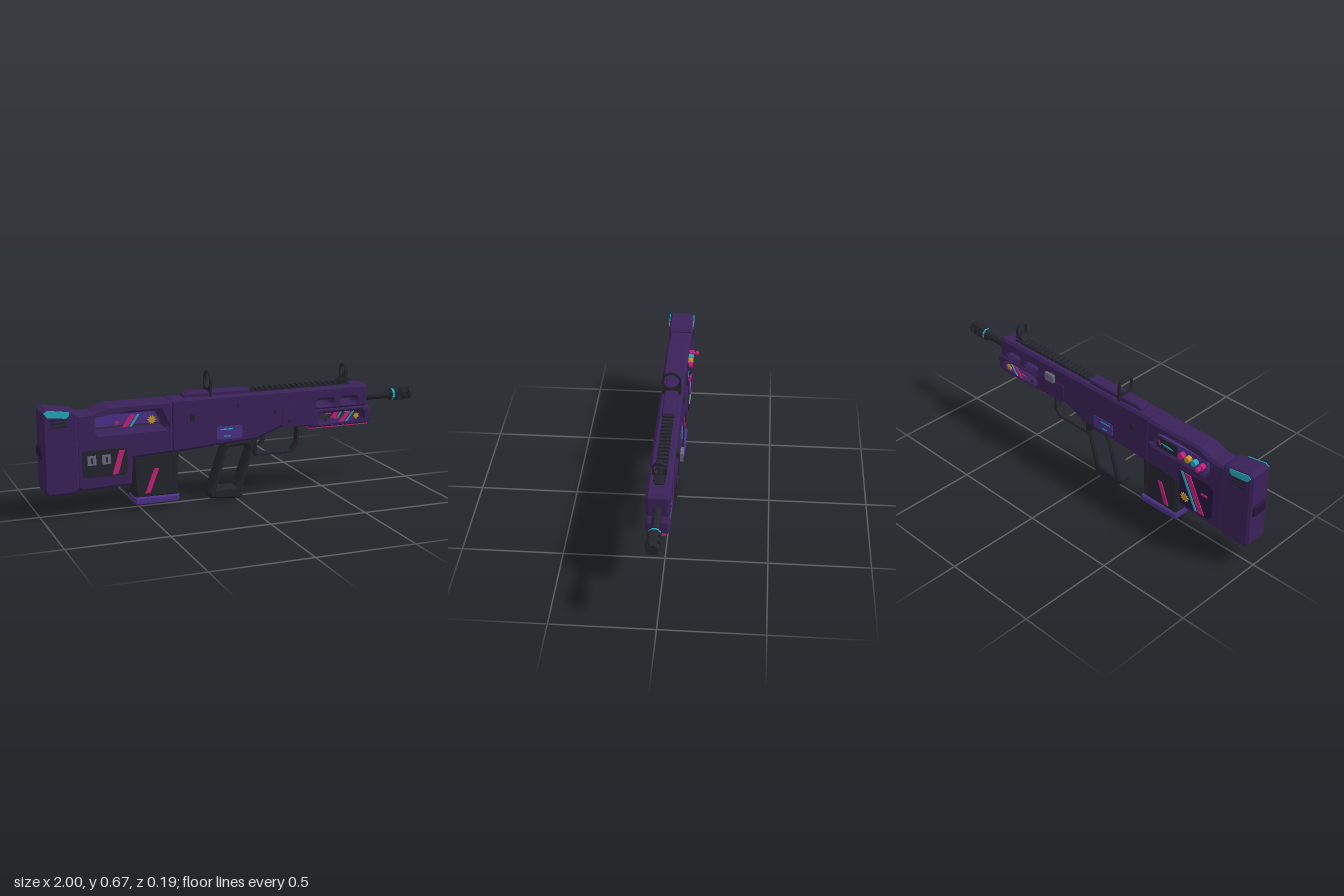
import * as THREE from 'three';

const mat = (name, color) => {
  const m = new THREE.MeshStandardMaterial({ color });
  m.name = name;
  return m;
};

export function createModel() {
  const purple = mat('body purple', 0x3a2259), deep = mat('deep purple', 0x27163d);
  const violet = mat('light violet', 0x4b3187), dark = mat('charcoal', 0x24252d);
  const grey = mat('grey', 0x6b6880), pink = mat('magenta', 0xc4207a);
  const teal = mat('teal', 0x22a9bb), gold = mat('gold', 0xc99522);

  const model = new THREE.Group();
  model.name = 'toyBlaster';
  const core = new THREE.Group(); // everything is symmetric about this group's z = 0
  core.name = 'blaster';
  core.position.z = 0.015;
  model.add(core);

  const add = (name, geo, m, x = 0, y = 0, z = 0) => {
    const mesh = new THREE.Mesh(geo, m);
    mesh.name = name;
    mesh.position.set(x, y, z);
    core.add(mesh);
    return mesh;
  };
  const vecs = (pts) => pts.map(([x, y]) => new THREE.Vector2(x, y));
  const box = (name, m, x0, x1, y0, y1, z0, z1) =>
    add(name, new THREE.BoxGeometry(x1 - x0, y1 - y0, z1 - z0), m, (x0 + x1) / 2, (y0 + y1) / 2, (z0 + z1) / 2);
  const rect = (x0, x1, y0, y1, c = 0) => c
    ? [[x0 + c, y0], [x1 - c, y0], [x1, y0 + c], [x1, y1 - c], [x1 - c, y1], [x0 + c, y1], [x0, y1 - c], [x0, y0 + c]]
    : [[x0, y0], [x1, y0], [x1, y1], [x0, y1]];

  // Side profile extruded across z with chamfered edges
  const slab = (name, m, pts, half, bevel = 0.012, holes = []) => {
    const shape = new THREE.Shape(vecs(pts));
    holes.forEach((h) => shape.holes.push(new THREE.Path(vecs(h))));
    const geo = new THREE.ExtrudeGeometry(shape, {
      depth: 2 * (half - bevel), bevelEnabled: bevel > 0, bevelSize: bevel,
      bevelThickness: bevel, bevelOffset: -bevel, bevelSegments: 1, curveSegments: 8,
    });
    return add(name, geo, m, 0, 0, bevel - half);
  };
  // Thin plate lying on the side at distance z; side is +1 (front) or -1 (back)
  const plate = (name, m, pts, z, side = 1, t = 0.004) => {
    const geo = new THREE.ExtrudeGeometry(new THREE.Shape(vecs(pts)), { depth: t, bevelEnabled: false });
    return add(name, geo, m, 0, 0, side > 0 ? z : -z - t);
  };
  const both = (...a) => [1, -1].forEach((s) => plate(...a, s));
  const slash = (x0, y0, x1, y1, w) => [[x0, y0], [x0 + w, y0], [x1 + w, y1], [x1, y1]];
  const burst = (cx, cy, r) => Array.from({ length: 20 }, (_, i) => {
    const a = i * Math.PI / 10, q = i % 2 ? r * 0.55 : r;
    return [cx + q * Math.cos(a), cy + q * Math.sin(a)];
  });
  const tube = (name, m, x0, x1, r0, r1, n = 8) => {
    const geo = new THREE.CylinderGeometry(r1, r0, x1 - x0, n).toNonIndexed();
    geo.rotateX(0).rotateY(Math.PI / n).rotateZ(-Math.PI / 2);
    geo.computeVertexNormals();
    return add(name, geo, m, (x0 + x1) / 2, 0.466, 0);
  };

  // Butt
  slab('butt', purple, [[-0.99, 0.145], [-0.97, 0.12], [-0.84, 0.12], [-0.815, 0.145], [-0.815, 0.515],
    [-0.83, 0.527], [-0.965, 0.547], [-0.99, 0.535]], 0.066);
  slab('buttPad', deep, rect(-1, -0.97, 0.3, 0.365, 0.009), 0.045, 0.006);
  both('buttFlash', teal, [[-0.982, 0.53], [-0.965, 0.507], [-0.875, 0.497], [-0.86, 0.508], [-0.86, 0.527], [-0.962, 0.542]], 0.064);
  for (let i = 0; i < 3; i++) {
    both('buttVent', dark, rect(-0.955, -0.87, 0.454 + i * 0.017, 0.463 + i * 0.017), 0.065);
  }

  // Rear body with panel opening
  const opening = (d) => [[-0.73 + d, 0.43], [-0.712 + d, 0.405 + d], [-0.378 - d, 0.405 + d], [-0.37 - d, 0.42],
    [-0.405 - d, 0.495 - d], [-0.72 + d, 0.495 - d], [-0.73 + d, 0.482 - d]];
  slab('rearBody', purple, [[-0.83, 0.14], [-0.8, 0.128], [-0.555, 0.135], [-0.545, 0.27], [-0.34, 0.28],
    [-0.34, 0.54], [-0.67, 0.54], [-0.75, 0.51], [-0.83, 0.508]], 0.06, 0.012, [opening(0)]);
  plate('inspectionPanel', violet, opening(0.008), 0.048, -1, 0.008);
  plate('panelSlash', pink, slash(-0.6, 0.43, -0.56, 0.487, 0.028), 0.056);
  plate('panelSlashTeal', teal, slash(-0.563, 0.43, -0.523, 0.487, 0.012), 0.056);
  plate('panelSpot', pink, burst(-0.625, 0.455, 0.012), 0.056);
  plate('panelBurst', gold, burst(-0.45, 0.455, 0.024), 0.056);

  // Back-side screen and buttons
  plate('screen', dark, rect(-0.54, -0.41, 0.42, 0.482), 0.056, -1, 0.009);
  plate('screenLine', teal, slash(-0.52, 0.445, -0.5, 0.455, 0.06), 0.065, -1, 0.002);
  plate('screenMark', pink, slash(-0.44, 0.44, -0.43, 0.465, 0.012), 0.065, -1, 0.002);
  const knob = (name, m, x, r, z0, z1) => {
    const geo = new THREE.CylinderGeometry(r, r, z1 - z0, 8).rotateX(Math.PI / 2);
    add(name, geo, m, x, 0.452, -(z0 + z1) / 2);
  };
  [[-0.655, teal], [-0.615, gold], [-0.575, pink], [-0.7, pink]].forEach(([x, m]) => knob('button', m, x, 0.016, 0.055, 0.082));
  knob('plungerStem', pink, -0.7, 0.006, 0.08, 0.095);
  knob('plungerKnob', pink, -0.7, 0.012, 0.092, 0.107);

  // Front control panel with two switches
  plate('controlPanel', dark, rect(-0.8, -0.58, 0.195, 0.33, 0.012), 0.06, 1, 0.009);
  [-0.757, -0.684].forEach((x) => {
    box('switch', grey, x - 0.021, x + 0.021, 0.258, 0.304, 0.069, 0.076);
    box('switchLever', dark, x - 0.004, x + 0.004, 0.268, 0.294, 0.076, 0.079);
  });
  plate('controlSlash', pink, slash(-0.655, 0.203, -0.62, 0.32, 0.028), 0.069);

  // Back stock panel
  plate('stockPanel', deep, [[-0.77, 0.18], [-0.75, 0.16], [-0.57, 0.165], [-0.56, 0.365], [-0.75, 0.365], [-0.77, 0.35]], 0.06, -1);
  plate('stockSlash', pink, slash(-0.725, 0.17, -0.63, 0.36, 0.035), 0.064, -1);
  plate('stockSlashTeal', teal, slash(-0.68, 0.17, -0.585, 0.36, 0.014), 0.064, -1);
  plate('stockBurst', gold, burst(-0.6, 0.215, 0.027), 0.064, -1);
  plate('stockMark', pink, rect(-0.74, -0.7, 0.285, 0.295), 0.064, -1);

  // Magazine
  slab('magazine', dark, [[-0.535, 0.055], [-0.315, 0.06], [-0.305, 0.3], [-0.545, 0.3]], 0.047, 0.01);
  slab('magazineBase', violet, [[-0.54, 0.035], [-0.53, 0.027], [-0.32, 0.027], [-0.31, 0.035], [-0.31, 0.062], [-0.54, 0.066]], 0.058, 0.007);
  both('magazineSlash', pink, slash(-0.485, 0.083, -0.438, 0.205, 0.025), 0.047);
  [-0.525, -0.34].forEach((x) => both('magazineRib', dark, rect(x, x + 0.012, 0.075, 0.27), 0.047));

  // Main receiver with through slots in the front shroud
  slab('receiver', purple, [[-0.35, 0.28], [-0.31, 0.278], [0.1, 0.303], [0.24, 0.355], [0.4, 0.345], [0.42, 0.425],
    [0.72, 0.425], [0.72, 0.53], [0.705, 0.543], [-0.35, 0.543]], 0.056, 0.012,
  [rect(0.435, 0.525, 0.452, 0.478, 0.008), rect(0.572, 0.66, 0.452, 0.478, 0.008)]);
  both('sidePlate', purple, rect(0.24, 0.415, 0.355, 0.458, 0.008), 0.055);
  both('badge', violet, rect(-0.112, 0.022, 0.322, 0.387, 0.006), 0.056);
  both('badgeLine', teal, rect(-0.095, -0.03, 0.37, 0.376), 0.058);
  both('badgeLineShort', teal, rect(-0.075, -0.04, 0.335, 0.34), 0.058);
  both('latch', dark, rect(-0.252, -0.228, 0.425, 0.46), 0.056);
  [[0.0, 0.49], [0.28, 0.385], [0.2, 0.44]].forEach(([x, y]) => both('pin', dark, burst(x, y, 0.008), 0.057));

  // Lower handguard with open panel
  slab('handguard', purple, [[0.4, 0.335], [0.72, 0.335], [0.742, 0.355], [0.742, 0.41], [0.725, 0.432], [0.4, 0.432]],
    0.055, 0.01, [rect(0.448, 0.7, 0.352, 0.406, 0.012)]);
  slab('handguardTrim', pink, rect(0.4, 0.73, 0.328, 0.338), 0.04, 0);
  both('guardSlash', pink, slash(0.56, 0.353, 0.6, 0.405, 0.028), 0.048);
  both('guardSlashTeal', teal, slash(0.597, 0.353, 0.637, 0.405, 0.01), 0.048);
  both('guardBurst', gold, burst(0.66, 0.38, 0.018), 0.048);
  both('guardMark', pink, rect(0.53, 0.565, 0.374, 0.382), 0.048);
  both('guardDot', dark, burst(0.485, 0.37, 0.009), 0.048);

  // Charging handle on the back side
  box('handleStem', dark, 0.295, 0.325, 0.48, 0.505, -0.078, -0.05);
  box('chargingHandle', grey, 0.28, 0.34, 0.47, 0.513, -0.091, -0.076);

  // Skeleton grip, trigger and guard
  slab('grip', dark, [[-0.148, 0.04], [-0.135, 0.012], [0.02, 0], [0.036, 0.012], [0.038, 0.065], [0.11, 0.31], [-0.06, 0.295]],
    0.041, 0.01, [[[-0.105, 0.06], [-0.005, 0.065], [0.01, 0.085], [0.068, 0.25], [0.058, 0.276], [-0.035, 0.27], [-0.05, 0.25]]]);
  slab('triggerGuard', dark, [[0.108, 0.207], [0.315, 0.207], [0.353, 0.25], [0.353, 0.36], [0.338, 0.36], [0.338, 0.255],
    [0.308, 0.221], [0.12, 0.221], [0.12, 0.32], [0.108, 0.32]], 0.02, 0.003);
  slab('trigger', dark, [[0.135, 0.262], [0.15, 0.266], [0.164, 0.285], [0.165, 0.33], [0.148, 0.33], [0.15, 0.29]], 0.012, 0);

  // Top plate and toothed rail
  slab('topPlate', purple, [[-0.275, 0.535], [0.075, 0.535], [0.075, 0.563], [-0.255, 0.565], [-0.275, 0.555]], 0.034, 0.006);
  box('railBase', dark, 0.07, 0.63, 0.538, 0.55, -0.024, 0.024);
  for (let i = 0; i < 19; i++) {
    const x = 0.078 + i * 0.029;
    box('railTooth', dark, x, x + 0.017, 0.548, 0.561, -0.028, 0.028);
  }

  // Ring sights, drawn in the z-y plane and extruded along x
  const ringSight = (name, x, t, r, hole, base) => {
    const shape = new THREE.Shape();
    shape.moveTo(-r, base).lineTo(r, base).lineTo(r, 0.617);
    shape.absarc(0, 0.617, r, 0, Math.PI, false);
    const path = new THREE.Path();
    path.absarc(0, 0.617, hole, 0, Math.PI * 2, true);
    shape.holes.push(path);
    const geo = new THREE.ExtrudeGeometry(shape, { depth: t, bevelEnabled: false, curveSegments: 12 });
    add(name, geo.rotateY(Math.PI / 2), dark, x - t / 2);
  };
  ringSight('rearSight', -0.14, 0.012, 0.049, 0.039, 0.54);
  ringSight('frontSight', 0.605, 0.014, 0.034, 0.026, 0.585);
  slab('frontSightBase', dark, [[0.57, 0.562], [0.64, 0.562], [0.615, 0.588], [0.595, 0.588]], 0.022, 0.004);
  add('sightPost', new THREE.ConeGeometry(0.008, 0.04, 6), dark, 0.605, 0.605);

  // Barrel and slotted muzzle
  tube('barrel', dark, 0.7, 0.88, 0.021, 0.021, 12);
  tube('muzzleCollar', dark, 0.865, 0.882, 0.026, 0.034);
  tube('muzzleBand', teal, 0.882, 0.897, 0.031, 0.031);
  tube('muzzleRear', dark, 0.897, 0.915, 0.035, 0.035);
  tube('muzzleMiddle', dark, 0.938, 0.96, 0.035, 0.035);
  tube('muzzleTip', dark, 0.978, 1, 0.035, 0.028);
  [0.447, 0.485].forEach((y) => box('muzzleRib', dark, 0.91, 0.985, y - 0.011, y + 0.011, -0.019, 0.019));

  return model;
}
